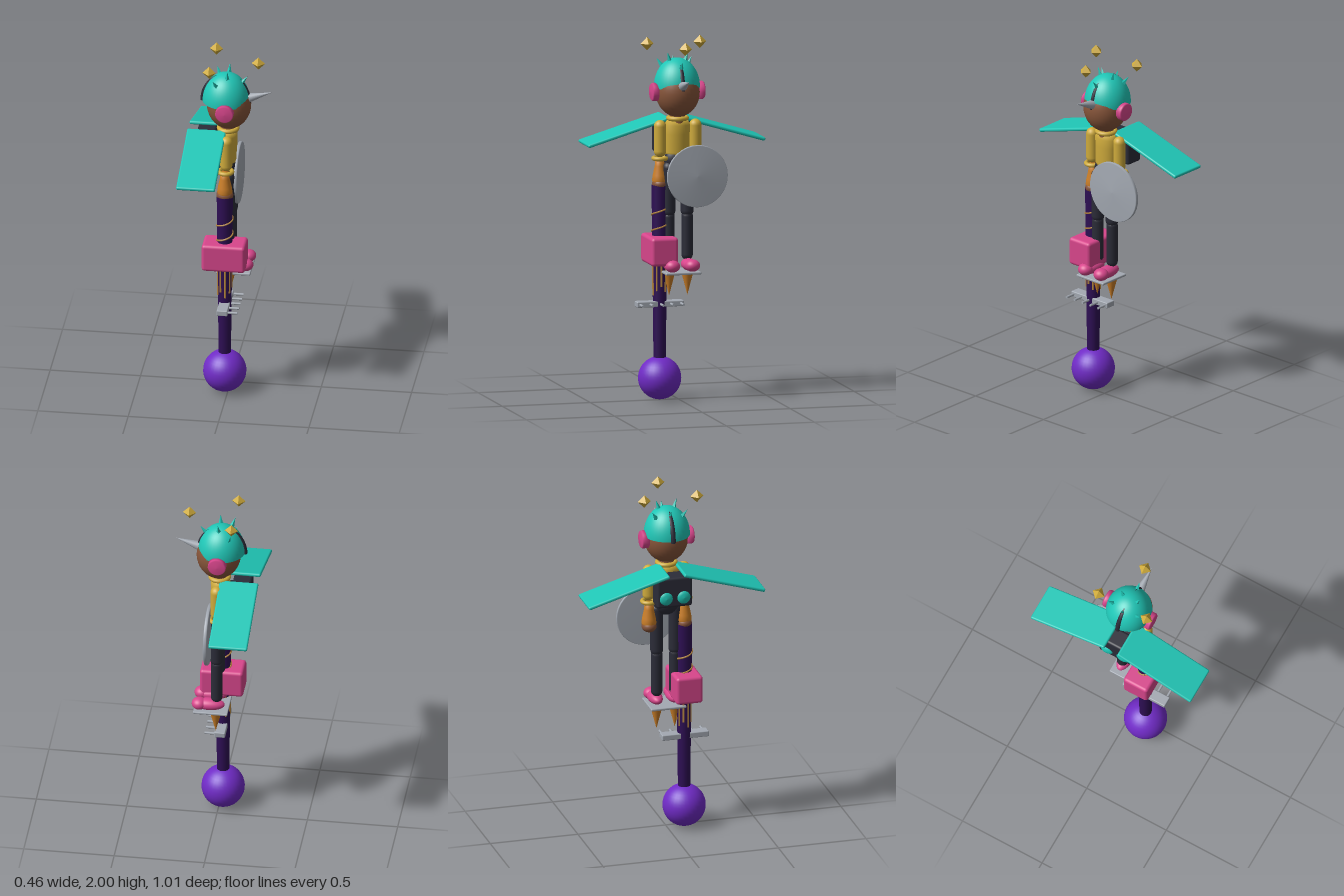
import * as THREE from 'three';
import { RoundedBoxGeometry } from 'three/addons/geometries/RoundedBoxGeometry.js';

const mat = (name, color, extra = {}) => Object.assign(new THREE.MeshStandardMaterial({ color, ...extra }), { name });

export function createModel() {
  const model = new THREE.Group();
  const M = {
    teal: mat('teal', 0x20c6b6),
    skin: mat('brown skin', 0x87553a),
    gold: mat('gold', 0xcfab3c),
    pink: mat('pink', 0xd8468c),
    navy: mat('dark navy', 0x2b2c38),
    staff: mat('dark purple', 0x2e0f54),
    purple: mat('purple', 0x702bc6),
    steel: mat('steel grey', 0xa3a9b2),
    orange: mat('orange', 0xcc7f28),
    tan: mat('tan', 0xb5853f),
  };
  const V = (x, y, z) => new THREE.Vector3(x, y, z);
  const UP = V(0, 1, 0);

  const add = (name, geo, material, x = 0, y = 0, z = 0, parent = model) => {
    const m = new THREE.Mesh(geo, material);
    m.name = name;
    m.position.set(x, y, z);
    parent.add(m);
    return m;
  };
  const ball = (name, material, x, y, z, rx, ry = rx, rz = rx) => {
    const m = add(name, new THREE.SphereGeometry(1, 32, 20), material, x, y, z);
    m.scale.set(rx, ry, rz);
    return m;
  };
  const box = (name, material, x, y, z, w, h, d, r = 0.01) =>
    add(name, new RoundedBoxGeometry(w, h, d, 3, r), material, x, y, z);
  const capsule = (name, material, x, z, y0, y1, r) =>
    add(name, new THREE.CapsuleGeometry(r, y1 - y0 - 2 * r, 6, 18), material, x, (y0 + y1) / 2, z);
  const ring = (name, material, x, y, z, R, r) => {
    const m = add(name, new THREE.TorusGeometry(R, r, 10, 32), material, x, y, z);
    m.rotation.x = Math.PI / 2;
    return m;
  };
  // lathe profile given as [radius, height] pairs
  const lathe = (points) => new THREE.LatheGeometry(points.map(([r, y]) => new THREE.Vector2(r, y)), 36);

  // Head and helmet (the figure faces +x)
  ball('head', M.skin, -0.01, 1.705, 0, 0.122, 0.14, 0.122);
  const helmet = add('helmet', new THREE.SphereGeometry(1, 36, 16, 0, Math.PI * 2, 0, Math.PI / 2),
    Object.assign(M.teal, { side: THREE.DoubleSide }), -0.026, 1.728, 0);
  helmet.scale.set(0.13, 0.163, 0.127);
  const crest = add('helmetCrest', new THREE.TorusGeometry(1, 0.09, 8, 40, Math.PI), M.navy, -0.028, 1.722, 0);
  crest.scale.set(0.129, 0.153, 0.15);

  // Helmet spikes, from base to tip
  const spikes = [[-0.113, 1.89, 0], [0.092, 1.88, 0], [-0.012, 1.925, 0.058], [-0.012, 1.925, -0.058],
    [-0.088, 1.885, 0.1], [-0.088, 1.885, -0.1]];
  const spikeMat = M.teal;
  for (const [x, y, z] of spikes) {
    const dir = V(x + 0.026, y - 1.728, z).normalize();
    const s = add('helmetSpike', new THREE.ConeGeometry(0.018, 0.07, 4).toNonIndexed(), spikeMat);
    s.geometry.computeVertexNormals();
    s.position.set(x, y, z).addScaledVector(dir, -0.035);
    s.quaternion.setFromUnitVectors(UP, dir);
  }

  // Forehead horn
  const hornDir = V(0.125, 0.04, 0).normalize();
  const horn = add('horn', new THREE.ConeGeometry(0.028, 0.145, 20), M.steel, 0.158, 1.768, 0);
  horn.quaternion.setFromUnitVectors(UP, hornDir);

  // Floating gems above the head
  for (const [x, z] of [[-0.1, 0.15], [-0.1, -0.15], [0.152, 0]])
    add('floatingGem', new THREE.OctahedronGeometry(0.037), M.gold, x, 1.963, z);

  // Torso
  add('neck', new THREE.CylinderGeometry(0.04, 0.045, 0.08, 20), M.skin, -0.015, 1.57, 0);
  ring('collar', M.gold, -0.015, 1.558, 0, 0.05, 0.013);
  const torso = add('torso', lathe([[0, 0], [0.064, 0], [0.068, 0.02], [0.07, 0.12], [0.072, 0.17], [0.058, 0.2], [0, 0.205]]),
    M.gold, -0.02, 1.35, 0);
  torso.scale.x = 0.75;
  ball('hips', M.navy, -0.015, 1.325, 0, 0.05, 0.075, 0.075);

  // Arms, legs, wings and other mirrored parts
  for (const s of [1, -1]) {
    const z = 0.1 * s;
    const muff = add('earMuff', lathe([[0, 0], [0.05, 0], [0.05, 0.034], [0.044, 0.041], [0, 0.044]]), M.pink, -0.018, 1.707, 0.108 * s);
    muff.rotation.x = s * Math.PI / 2;

    capsule('upperArm', M.gold, -0.012, z, 1.345, 1.55, 0.034);
    ring('cuff', M.gold, -0.015, 1.338, z, 0.036, 0.012);
    add('forearm', lathe([[0, 0.13], [0.024, 0.13], [0.027, 0.09], [0.038, 0.04], [0.042, 0.01], [0.036, -0.01], [0, -0.012]].reverse()),
      M.orange, -0.02, 1.205, z);
    ball('hand', M.skin, -0.02, 1.195, z, 0.047, 0.035, 0.042);

    const lz = 0.052 * s;
    capsule('thigh', M.navy, -0.005, lz, 1.01, 1.32, 0.036);
    capsule('shin', M.navy, -0.005, lz, 0.77, 1.045, 0.032);
    ball('shoe', M.pink, 0.035, 0.75, lz, 0.085, 0.033, 0.04);
    ball('shoeToe', M.pink, 0.09, 0.752, lz + 0.005 * s, 0.042, 0.034, 0.042);
    const flame = add('thrusterFlame', new THREE.ConeGeometry(0.034, 0.13, 20), M.orange, 0, 0.642, lz);
    flame.rotation.x = Math.PI;

    const wing = box('wing', M.teal, -0.128, 1.485, 0.272 * s, 0.215, 0.02, 0.482, 0.009);
    wing.rotation.x = s * 0.29;
    const jet = add('packJet', lathe([[0, 0], [0.038, 0], [0.036, 0.008], [0.022, 0.015], [0, 0.018]]), M.teal, -0.185, 1.41, 0.05 * s);
    jet.rotation.z = Math.PI / 2;
  }

  // Backpack
  box('backpack', M.navy, -0.137, 1.442, 0, 0.105, 0.175, 0.2, 0.015);
  box('backpackStrap', M.navy, -0.08, 1.46, 0, 0.06, 0.1, 0.1, 0.01);

  // Round shield on the right arm
  const shield = add('shield', lathe([[0, 0], [0.168, 0], [0.172, 0.004], [0.172, 0.016], [0.168, 0.02], [0, 0.028]]), M.steel, 0.022, 1.237, -0.1);
  shield.rotation.z = -Math.PI / 2;

  // Hover board under the feet
  box('footPlate', M.steel, 0.025, 0.712, 0, 0.19, 0.014, 0.2, 0.005);

  // Long hammer with a ball end, held in the left hand
  const sx = -0.02, sz = 0.1;
  add('staff', new THREE.CylinderGeometry(0.045, 0.034, 0.98, 16), M.staff, sx, 0.7, sz);
  ball('staffBall', M.purple, sx, 0.12, sz, 0.119);
  box('hammerBlock', M.pink, sx, 0.832, sz, 0.24, 0.158, 0.152, 0.018);

  // Wire wound around the staff
  const coil = [];
  for (let i = 0; i <= 48; i++) {
    const t = i / 48, a = t * Math.PI * 4 + 0.6;
    coil.push(V(sx + 0.044 * Math.cos(a), 0.88 + 0.18 * t, sz - 0.044 * Math.sin(a)));
  }
  add('wireCoil', new THREE.TubeGeometry(new THREE.CatmullRomCurve3(coil), 96, 0.005, 6), M.tan);

  // Loose strands hanging below the block
  for (let i = 0; i < 9; i++) {
    const a = i / 9 * Math.PI * 2, h = 0.13 + 0.05 * ((i * 4) % 9) / 8;
    const r = 0.037;
    add('strand', new THREE.CylinderGeometry(0.006, 0.006, h, 6), M.tan,
      sx + r * Math.cos(a), 0.76 - h / 2, sz + r * Math.sin(a));
  }

  // Cross bar with prongs
  box('crossBar', M.steel, -0.018, 0.532, 0.102, 0.06, 0.032, 0.266, 0.005);
  for (let i = 0; i < 5; i++) {
    const prong = add('prong', new THREE.CylinderGeometry(0.007, 0.007, 0.065, 10), M.steel, 0.035, 0.532, -0.014 + i * 0.058);
    prong.rotation.z = Math.PI / 2;
  }
  return model;
}
